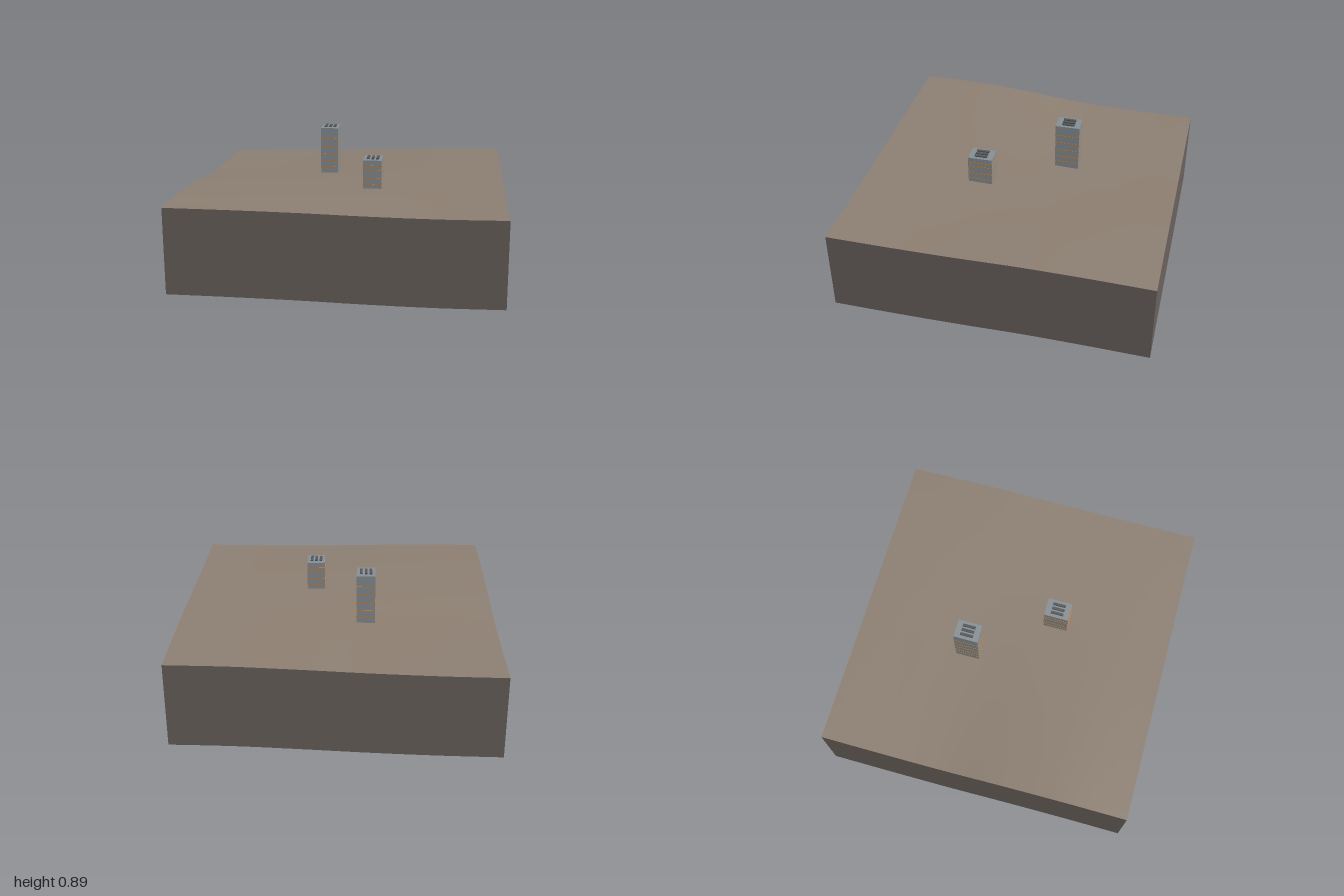
import * as THREE from 'three';

const SLAB = 0.532; // height of the side walls

// Lower edge heights at even steps from -1 to 1
const EDGES = {
  front: [0.086, 0.084, 0.079, 0.07, 0.066, 0.07],
  back: [0, 0.007, 0.02, 0.038, 0.053, 0.058],
  left: [0.058, 0.068, 0.072, 0.066, 0.0655, 0.07],
  right: [0, 0.003, 0.016, 0.055, 0.082, 0.086],
};

const curves = Object.fromEntries(Object.entries(EDGES).map(([name, ys]) =>
  [name, new THREE.CatmullRomCurve3(ys.map((y) => new THREE.Vector3(0, y, 0)), false, 'catmullrom', 0.5)]));
const edge = (name, t) => Math.max(0, curves[name].getPoint(t).y);

// Smooth patch blended between the four edge curves
function ground(x, z) {
  const u = (x + 1) / 2, v = (z + 1) / 2;
  const mix = THREE.MathUtils.lerp;
  const E = EDGES;
  const corners = mix(mix(E.back[0], E.back[5], u), mix(E.front[0], E.front[5], u), v);
  return mix(edge('back', u), edge('front', u), v) + mix(edge('right', v), edge('left', v), u) - corners;
}

export function createModel() {
  const model = new THREE.Group();
  const mat = (name, color, side = THREE.FrontSide) => {
    const m = new THREE.MeshStandardMaterial({ color, side });
    m.name = name;
    return m;
  };
  const soil = mat('soil', 0x8d7f72, THREE.DoubleSide);
  const rock = mat('rock', 0x6a625d, THREE.DoubleSide);
  const concrete = mat('concrete', 0x889095);
  const dark = mat('darkMetal', 0x55585a);
  const orange = mat('orangeTrim', 0xc8823c);

  const add = (parent, name, geometry, material, x = 0, y = 0, z = 0) => {
    const mesh = new THREE.Mesh(geometry, material);
    mesh.name = name;
    mesh.position.set(x, y, z);
    parent.add(mesh);
    return mesh;
  };

  // Rolling ground surface
  const top = new THREE.PlaneGeometry(2, 2, 40, 40).rotateX(-Math.PI / 2);
  const p = top.attributes.position;
  for (let i = 0; i < p.count; i++) p.setY(i, ground(p.getX(i), p.getZ(i)) + SLAB);
  top.computeVertexNormals();
  add(model, 'ground', top, soil);

  // Side walls, open below, following the ground edge
  const sides = ['frontWall', 'leftWall', 'backWall', 'rightWall'];
  sides.forEach((name, k) => {
    const wall = new THREE.PlaneGeometry(2, SLAB, 40, 1).translate(0, SLAB / 2, 1).rotateY(k * Math.PI / 2);
    const w = wall.attributes.position;
    for (let i = 0; i < w.count; i++) w.setY(i, w.getY(i) + ground(w.getX(i), w.getZ(i)));
    wall.computeVertexNormals();
    add(model, name, wall, rock);
  });

  // Block with trim bands and three roof vents
  function tower(name, x, z, base, height, bands) {
    const W = 0.118, D = 0.158;
    const g = new THREE.Group();
    g.name = name;
    g.position.set(x, 0, z);
    add(g, 'body', new THREE.BoxGeometry(W, height - base, D), concrete, 0, (height + base) / 2, 0);
    for (const y of bands) add(g, 'trimBand', new THREE.BoxGeometry(W + 0.003, 0.006, D + 0.003), orange, 0, y, 0);
    for (const i of [-1, 0, 1]) add(g, 'roofVent', new THREE.BoxGeometry(0.017, 0.009, 0.082), dark, i * 0.03, height + 0.0035, 0);
    model.add(g);
  }
  tower('tallTower', -0.171, -0.252, 0.565, 0.882, [0.61, 0.65, 0.7, 0.755, 0.81]);
  tower('shortTower', 0.166, 0.25, 0.572, 0.776, [0.62, 0.66, 0.712, 0.74]);

  return model;
}
